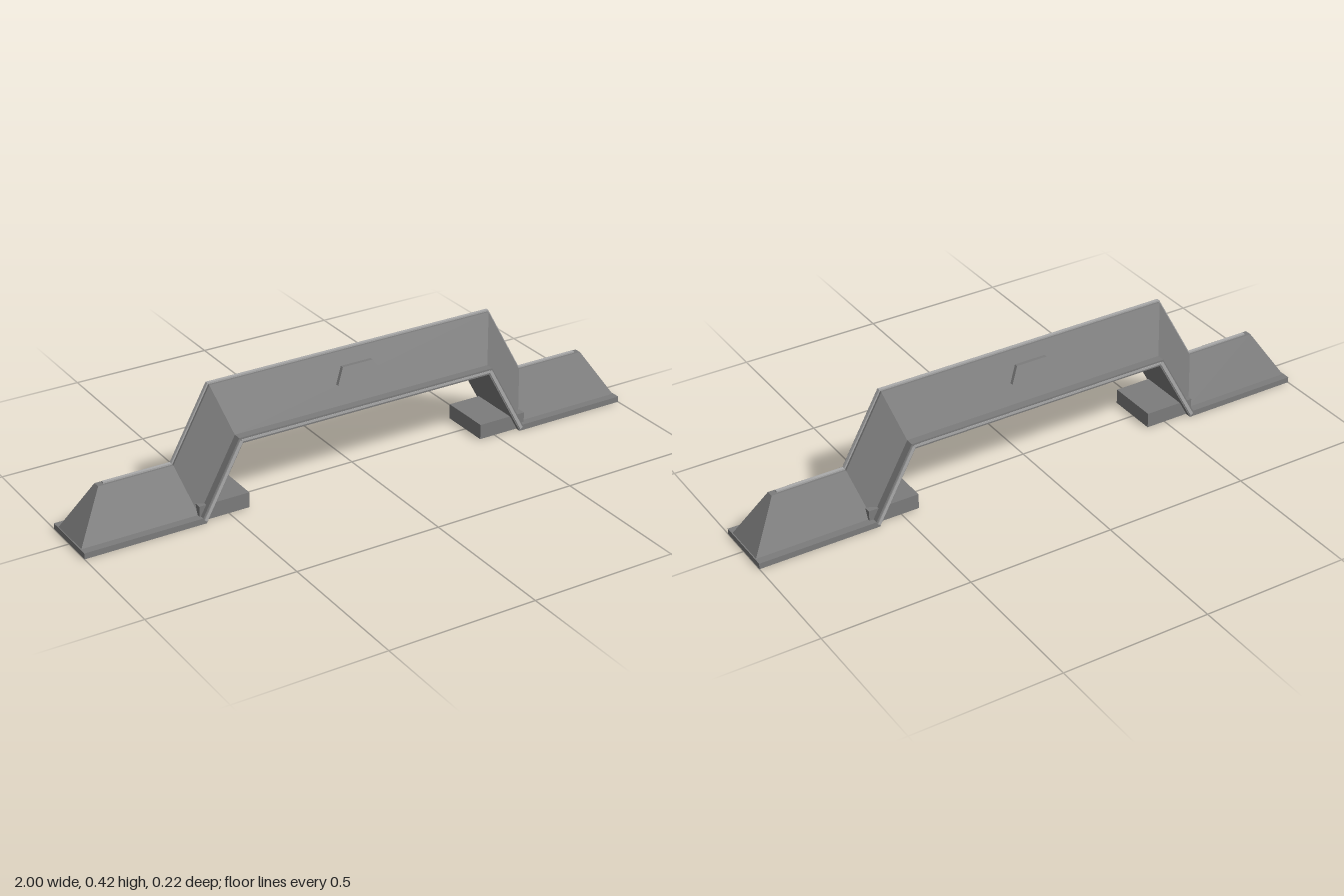
import * as THREE from 'three';

const darkGrey = new THREE.MeshStandardMaterial({ color: 0x7c7c7c, flatShading: true });
const lightGrey = new THREE.MeshStandardMaterial({ color: 0xaaaaaa, flatShading: true });

// Loft four-cornered sections (arrays of [x, y, z]) with flat end caps
function loft(sections) {
  const pos = [];
  const quad = (a, b, c, d) => pos.push(...a, ...b, ...c, ...a, ...c, ...d);
  for (let i = 0; i < sections.length - 1; i++) {
    const s = sections[i], t = sections[i + 1];
    for (let j = 0; j < 4; j++) {
      const k = (j + 1) % 4;
      quad(s[j], t[j], t[k], s[k]);
    }
  }
  quad(...sections[0]);
  quad(...[...sections[sections.length - 1]].reverse());
  const geo = new THREE.BufferGeometry();
  geo.setAttribute('position', new THREE.Float32BufferAttribute(pos, 3));
  geo.computeVertexNormals();
  return geo;
}

// Extrude an x-y outline, centred on z = 0
function slab(points, width) {
  const shape = new THREE.Shape(points.map(([x, y]) => new THREE.Vector2(x, y)));
  const geo = new THREE.ExtrudeGeometry(shape, { depth: width, bevelEnabled: false });
  return geo.translate(0, 0, -width / 2);
}

// Complete a left-to-centre path with its mirror image
const mirrored = (path) => [...path, ...[...path].reverse().map(([x, y]) => [-x, y])];

export function createModel() {
  const group = new THREE.Group();
  const add = (name, geo, material = darkGrey) => {
    const mesh = new THREE.Mesh(geo, material);
    mesh.name = name;
    group.add(mesh);
    return mesh;
  };

  // Bent base plate following the arch
  const under = mirrored([[-1, 0], [-0.588, 0], [-0.456, 0.24]]);
  const over = mirrored([[-1, 0.02], [-0.6, 0.02], [-0.468, 0.26]]);
  add('basePlate', slab([...under, ...over.reverse()], 0.214));

  // Tapered body: wide at the plate, narrow at the ridge
  const bottom = mirrored([[-0.997, 0.019], [-0.6, 0.019], [-0.468, 0.259]]);
  const top = mirrored([[-0.9, 0.174], [-0.647, 0.174], [-0.515, 0.412]]);
  const wide = 0.08, narrow = 0.0125;
  add('body', loft(bottom.map(([bx, by], i) => {
    const [tx, ty] = top[i];
    return [[bx, by, -wide], [bx, by, wide], [tx, ty, narrow], [tx, ty, -narrow]];
  })));

  // Thin pale strip along the ridge
  const ridgeTop = mirrored([[-0.88, 0.179], [-0.65, 0.179], [-0.518, 0.417]]);
  const ridgeLow = mirrored([[-0.88, 0.165], [-0.64, 0.165], [-0.508, 0.403]]);
  add('ridgeStrip', slab([...ridgeLow, ...ridgeTop.reverse()], 0.011), lightGrey);

  // Raised trapezoid panels on both sloping sides
  const slope = (y) => wide + (narrow - wide) * (y - 0.259) / 0.153;
  for (const side of [1, -1]) {
    const face = (out) => [[-0.09, 0.322], [0.08, 0.322], [0.05, 0.37], [-0.06, 0.37]]
      .map(([x, y]) => [x, y, side * (slope(y) + out)]);
    const layers = [face(0.0125), face(-0.004)];
    add(side > 0 ? 'frontPanel' : 'backPanel', loft(side > 0 ? layers : layers.reverse()));
  }

  // Pale trim along the plate edge of the beam
  add('beamTrim', slab([[-0.457, 0.246], [0.457, 0.246], [0.461, 0.254], [-0.461, 0.254]], 0.217), lightGrey);

  // Leg edge trim and foot blocks
  for (const side of [-1, 1]) {
    const trim = [[0.588, 0.008], [0.597, 0.014], [0.466, 0.254], [0.457, 0.247]];
    add(side > 0 ? 'leftLegTrim' : 'rightLegTrim', slab(trim.map(([x, y]) => [side * x, y]), 0.222), lightGrey);
    const foot = add(side > 0 ? 'leftFoot' : 'rightFoot', new THREE.BoxGeometry(0.175, 0.052, 0.18));
    foot.position.set(side > 0 ? 0.527 : -0.517, 0.029, 0.002);
  }
  return group;
}
